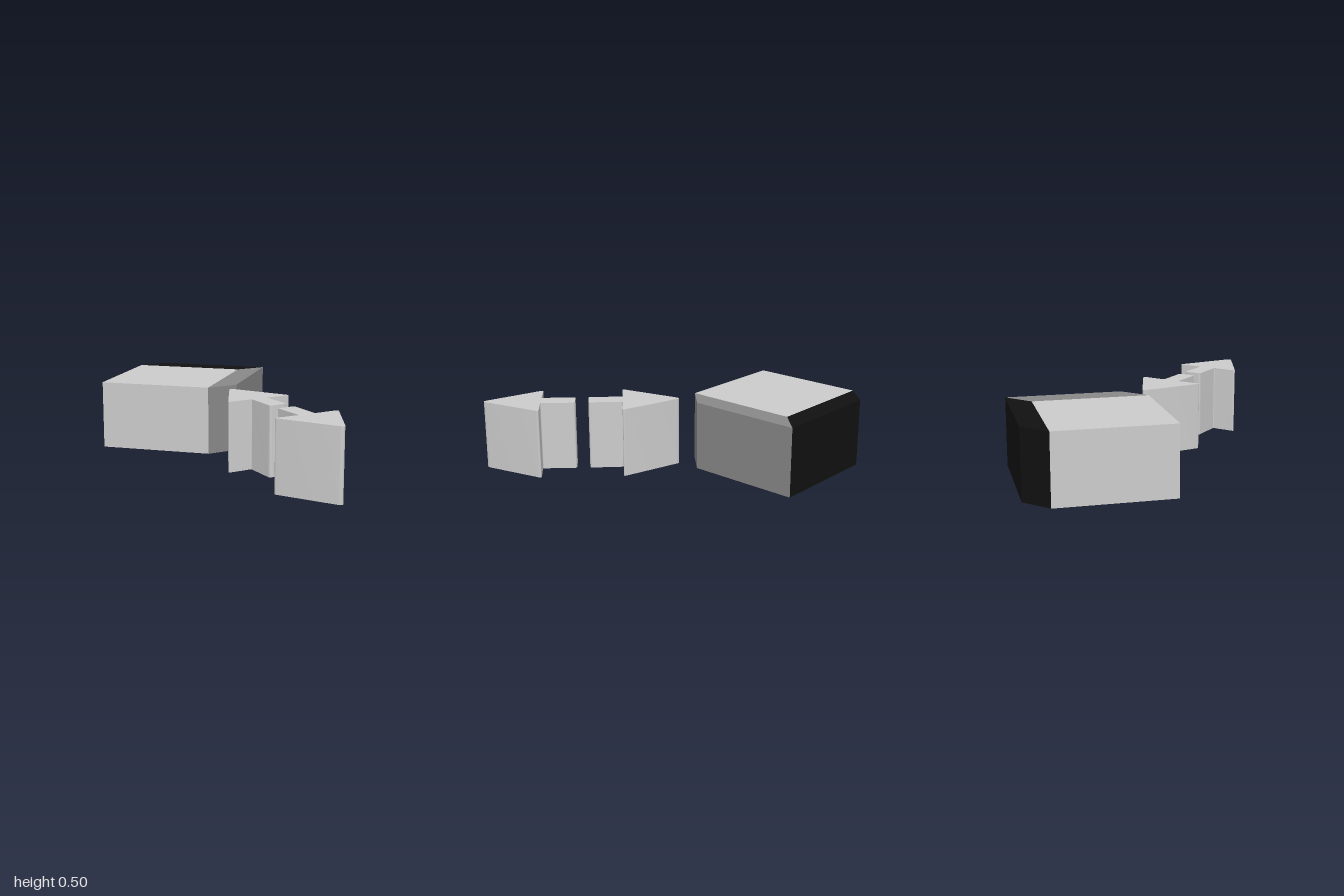
import * as THREE from 'three';
import { toCreasedNormals } from 'three/addons/utils/BufferGeometryUtils.js';

const HEIGHT = 0.5;

// Upright prism from an outline in (x, z); each corner is [x, z, rounding]
function prism(name, corners, color = 0xcccccc) {
  const shape = new THREE.Shape();
  const n = corners.length;
  corners.forEach(([x, z, cut = 0], i) => {
    const c = new THREE.Vector2(x, z);
    const toward = (p) => new THREE.Vector2(p[0], p[1]).sub(c).setLength(cut).add(c);
    const a = toward(corners[(i + n - 1) % n]);
    const b = toward(corners[(i + 1) % n]);
    if (i === 0) shape.moveTo(a.x, a.y);
    else shape.lineTo(a.x, a.y);
    if (cut > 0) shape.quadraticCurveTo(x, z, b.x, b.y);
  });
  shape.closePath();
  const geo = new THREE.ExtrudeGeometry(shape, { depth: HEIGHT, bevelEnabled: false, curveSegments: 6 });
  geo.rotateX(Math.PI / 2).translate(0, HEIGHT, 0);
  const mesh = new THREE.Mesh(toCreasedNormals(geo, 0.6), new THREE.MeshStandardMaterial({ color }));
  mesh.name = name;
  return mesh;
}

export function createModel() {
  const model = new THREE.Group();
  model.name = 'blockWithArrows';

  // Six-sided block: light square with a black and a grey slanted band
  const block = new THREE.Group();
  block.name = 'block';
  const s = -0.168, t = -0.835;
  block.add(
    prism('lightBlock', [[-1, t], [s, t], [s, 0], [-1, 0]]),
    prism('blackBackBand', [[-1, t], [t, -1], [0, -1], [s, t]], 0x111111),
    prism('greySideBand', [[s, t], [0, -1], [0, s], [s, 0]], 0x888888)
  );
  model.add(block);

  // Arrow outline, symmetric about the x = z diagonal, tip first
  const half = [[0.47, 0.116, 0.022], [0.335, 0.247, 0.008], [0.513, 0.42, 0.018]];
  const mirrored = half.map(([x, z, r]) => [z, x, r]).reverse();
  const outline = [[-0.008, -0.008, 0.04], ...half, ...mirrored];

  // Second arrow is the first turned half around the middle of the pair
  const inner = prism('innerArrow', outline);
  const outer = prism('outerArrow', outline);
  outer.rotation.y = Math.PI;
  outer.position.set(1, 0, 1);
  model.add(inner, outer);
  return model;
}
